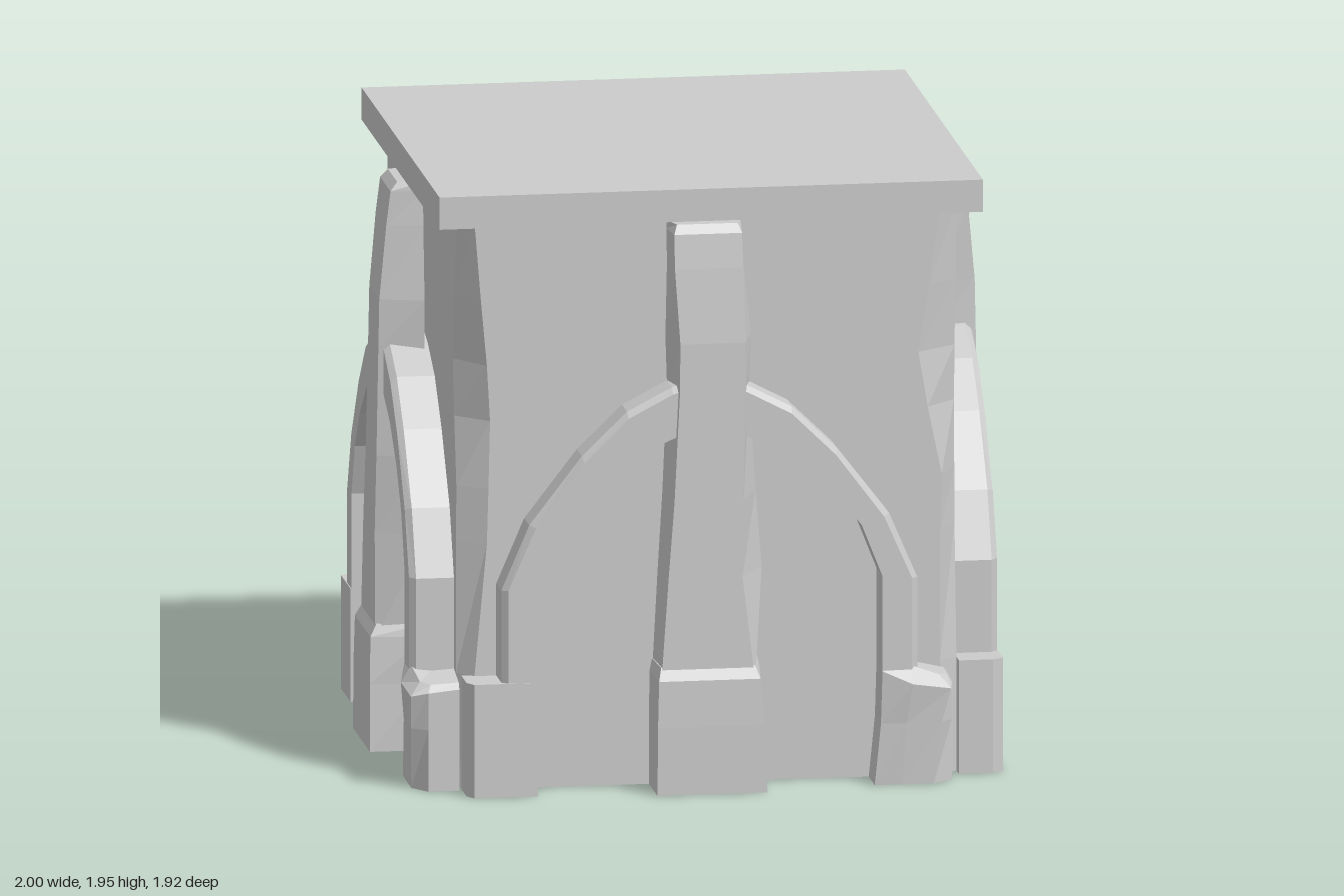
import * as THREE from 'three';

const material = new THREE.MeshStandardMaterial({ color: 0xcccccc, flatShading: true });

// Closed faceted solid through rings of equal point count; winding is fixed by volume sign.
function loft(name, rings) {
  const tris = [];
  const n = rings[0].length;
  for (let i = 0; i < rings.length - 1; i++) {
    for (let j = 0; j < n; j++) {
      const k = (j + 1) % n;
      const a = rings[i][j], b = rings[i][k], c = rings[i + 1][k], d = rings[i + 1][j];
      tris.push([a, b, c], [a, c, d]);
    }
  }
  const last = rings[rings.length - 1];
  for (let j = 1; j < n - 1; j++) {
    tris.push([rings[0][0], rings[0][j + 1], rings[0][j]], [last[0], last[j], last[j + 1]]);
  }
  let volume = 0;
  for (const [a, b, c] of tris) {
    volume += a[0] * (b[1] * c[2] - b[2] * c[1]) + a[1] * (b[2] * c[0] - b[0] * c[2])
      + a[2] * (b[0] * c[1] - b[1] * c[0]);
  }
  if (volume < 0) tris.forEach((t) => t.reverse());
  const geometry = new THREE.BufferGeometry();
  geometry.setAttribute('position', new THREE.Float32BufferAttribute(tris.flat(2), 3));
  geometry.computeVertexNormals();
  const mesh = new THREE.Mesh(geometry, material);
  mesh.name = name;
  return mesh;
}

// Core block with unevenly chipped corners: [height, chip on one face, chip on the next]
function buildCore() {
  const X = 0.805, Z = 0.78;
  const levels = [
    [0, 0.05, 0.05], [0.37, 0.06, 0.05], [0.8, 0.06, 0.09], [0.98, 0.055, 0.095],
    [1.2, 0.1, 0.1], [1.38, 0.13, 0.09], [1.6, 0.095, 0.07], [1.85, 0.06, 0.05],
  ];
  return loft('coreBlock', levels.map(([y, a, b]) => [
    [X - a, y, Z], [X, y, Z - b], [X, y, -Z + a], [X - b, y, -Z],
    [-X + a, y, -Z], [-X, y, -Z + b], [-X, y, Z - a], [-X + b, y, Z],
  ]));
}

// Central buttress: [height, backLeft, frontLeft, frontRight, backRight, depth]
function buildButtress() {
  const section = ([y, bl, fl, fr, br, d]) => [[bl, y, 0.015], [fl, y, d], [fr, y, d], [br, y, 0.015]];
  const group = new THREE.Group();
  group.name = 'buttress';
  group.add(loft('buttressBase', [
    [0, -0.178, -0.178, 0.176, 0.178, 0.195],
    [0.22, -0.178, -0.176, 0.168, 0.178, 0.194],
    [0.37, -0.176, -0.172, 0.155, 0.18, 0.19],
    [0.41, -0.168, -0.162, 0.14, 0.17, 0.168],
  ].map(section)));
  group.add(loft('buttressShaft', [
    [0.36, -0.168, -0.162, 0.14, 0.165, 0.172],
    [0.7, -0.15, -0.138, 0.1, 0.185, 0.168],
    [0.95, -0.135, -0.118, 0.104, 0.165, 0.163],
    [1.3, -0.12, -0.1, 0.112, 0.145, 0.158],
    [1.46, -0.125, -0.098, 0.112, 0.15, 0.155],
    [1.7, -0.12, -0.112, 0.108, 0.125, 0.132],
    [1.81, -0.122, -0.112, 0.106, 0.118, 0.118],
    [1.838, -0.122, -0.1, 0.095, 0.115, 0.095],
  ].map(section)));
  return group;
}

// Pointed arch band with a bevelled outer edge; half profile is mirrored
function buildArch() {
  const half = [ // outer u, outer y, inner u, inner y
    [0.67, 0.3, 0.555, 0.3], [0.67, 0.67, 0.555, 0.68], [0.58, 0.88, 0.488, 0.85],
    [0.41, 1.1, 0.385, 0.98], [0.265, 1.24, 0.25, 1.09], [0.12, 1.315, 0.12, 1.15],
  ];
  const stations = [
    ...half.map(([a, b, c, d]) => [-a, b, -c, d]),
    [0, 1.35, 0, 1.19],
    ...half.slice().reverse(),
  ];
  return loft('arch', stations.map(([ox, oy, ix, iy]) => {
    const len = Math.hypot(ox - ix, oy - iy);
    const t = 0.02 / len;
    const bx = ox + (ix - ox) * t, by = oy + (iy - oy) * t;
    return [[ix, iy, 0], [ix, iy, 0.142], [bx, by, 0.142], [ox, oy, 0.122], [ox, oy, 0]];
  }));
}

// Squared foot under one end of the arch, and a worn, bulging foot under the other
function buildFeet() {
  const group = new THREE.Group();
  group.name = 'archFeet';
  const square = (y) => [[-0.555, y, 0], [-0.555, y, 0.145], [-0.76, y, 0.145], [-0.78, y, 0.11], [-0.78, y, 0]];
  group.add(loft('squareFoot', [square(0), square(0.37)]));
  group.add(loft('wornFoot', [
    [[0.53, 0, 0], [0.53, 0, 0.143], [0.62, 0, 0.145], [0.72, 0, 0.145], [0.785, 0, 0.1], [0.785, 0, 0]],
    [[0.55, 0.2, 0], [0.55, 0.2, 0.143], [0.63, 0.2, 0.155], [0.745, 0.2, 0.15], [0.785, 0.2, 0.1], [0.785, 0.2, 0]],
    [[0.555, 0.37, 0], [0.555, 0.37, 0.143], [0.65, 0.33, 0.168], [0.775, 0.31, 0.155], [0.785, 0.32, 0.1], [0.785, 0.33, 0]],
    [[0.556, 0.4, 0], [0.556, 0.4, 0.135], [0.65, 0.385, 0.135], [0.74, 0.35, 0.12], [0.77, 0.345, 0.09], [0.77, 0.35, 0]],
  ]));
  return group;
}

export function createModel() {
  const model = new THREE.Group();
  model.name = 'archedStoneBlock';
  model.add(buildCore());

  // Flat slab on top
  const slab = new THREE.Mesh(new THREE.BoxGeometry(1.75, 0.105, 1.64), material);
  slab.name = 'topSlab';
  slab.position.set(0, 1.893, 0.01);
  model.add(slab);

  // The same arched face on all four sides
  ['front', 'right', 'back', 'left'].forEach((side, i) => {
    const face = new THREE.Group();
    face.name = `${['front', 'leftSide', 'back', 'rightSide'][i]}Face`;
    face.add(buildButtress(), buildArch(), buildFeet());
    face.rotation.y = i * Math.PI / 2;
    const sideways = i % 2 === 1;
    const out = sideways ? 0.805 : 0.765;
    face.position.set(
      Math.sin(face.rotation.y) * out - (sideways ? 0 : 0.015), 0,
      Math.cos(face.rotation.y) * out + (sideways ? 0.005 : 0));
    model.add(face);
  });
  return model;
}
